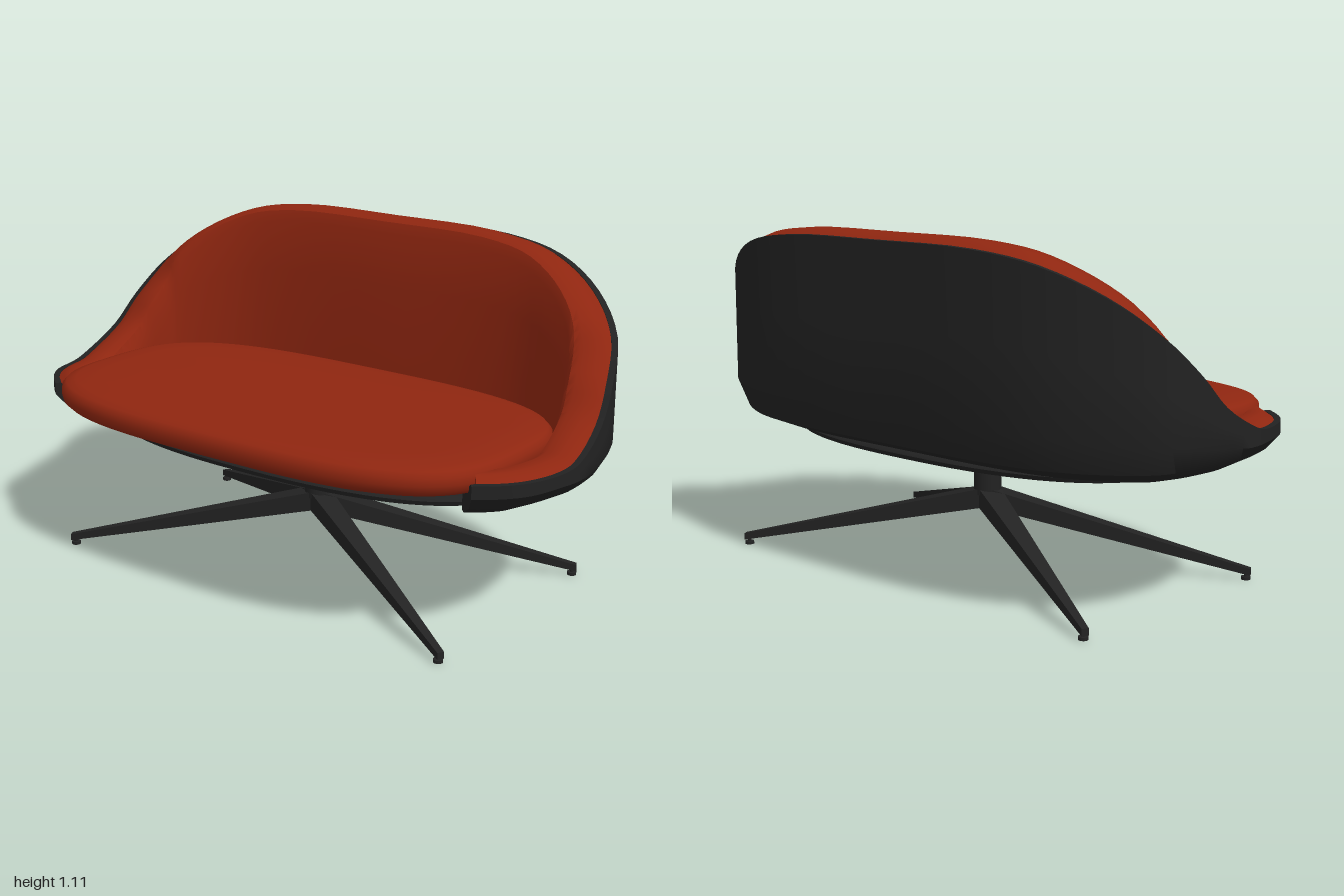
import * as THREE from 'three';
import { toCreasedNormals } from 'three/addons/utils/BufferGeometryUtils.js';

const red = new THREE.MeshStandardMaterial({ color: 0x8f2610 });
red.name = 'red upholstery';
const black = new THREE.MeshStandardMaterial({ color: 0x222222 });
black.name = 'black shell and metal';

// Skin a row of closed rings and cap both ends
function loft(rings, crease = 0.7) {
  const n = rings[0].length, pos = [], idx = [];
  rings.forEach(r => r.forEach(p => pos.push(p.x, p.y, p.z)));
  for (let j = 0; j < rings.length - 1; j++) {
    for (let i = 0; i < n; i++) {
      const a = j * n + i, b = j * n + (i + 1) % n;
      idx.push(a, a + n, b, b, a + n, b + n);
    }
  }
  [0, rings.length - 1].forEach((j, end) => {
    const c = new THREE.Vector3();
    rings[j].forEach(p => c.addScaledVector(p, 1 / n));
    const k = pos.length / 3;
    pos.push(c.x, c.y, c.z);
    for (let i = 0; i < n; i++) {
      const a = j * n + i, b = j * n + (i + 1) % n;
      idx.push(k, end ? b : a, end ? a : b);
    }
  });
  const g = new THREE.BufferGeometry();
  g.setAttribute('position', new THREE.Float32BufferAttribute(pos, 3));
  g.setIndex(idx);
  return toCreasedNormals(g, crease);
}

// Rounded-oblong pad; each level is [inset, y]
function pad(a, b, power, levels, segments = 72) {
  const bend = v => Math.sign(v) * Math.pow(Math.abs(v), 2 / power);
  return loft(levels.map(([inset, y]) => Array.from({ length: segments }, (_, i) => {
    const t = (i / segments) * Math.PI * 2;
    return new THREE.Vector3((a - inset) * bend(Math.cos(t)), y, (b - inset) * bend(Math.sin(t)));
  })), 0.9);
}

// Rim of the shell, from the right arm tip to the middle of the back, then mirrored
const half = [
  [-0.83, 0.56, 0.35], [-0.9, 0.56, 0.29], [-0.95, 0.56, 0.22], [-0.985, 0.56, 0.1],
  [-0.998, 0.575, 0.03], [-0.99, 0.65, -0.11], [-0.97, 0.75, -0.205], [-0.92, 0.865, -0.32],
  [-0.8, 0.97, -0.42], [-0.62, 1.05, -0.5], [-0.4, 1.085, -0.535], [0, 1.09, -0.54],
];
const rim = new THREE.CatmullRomCurve3(
  [...half, ...half.slice(0, -1).reverse().map(([x, y, z]) => [-x, y, z])]
    .map(p => new THREE.Vector3(...p)));

// Sweep a profile of [inward offset, y] points along the rim
function sweep(profile, start, steps = 88) {
  const rings = [];
  for (let s = 0; s <= steps; s++) {
    const t = start + (1 - 2 * start) * s / steps;
    const p = rim.getPoint(t), d = rim.getTangent(t);
    const len = Math.hypot(d.x, d.z), nx = -d.z / len, nz = d.x / len;
    const end = Math.max(0, 1 - Math.min(t, 1 - t) / 0.12);
    rings.push(profile(p, end).map(([o, y]) => new THREE.Vector3(p.x + nx * o, y, p.z + nz * o)));
  }
  return loft(rings);
}

function shellProfile(p, end) {
  const back = THREE.MathUtils.clamp(-p.z / 0.5, 0, 1);
  const belt = 0.52 + 0.05 * back;
  return [
    [0, p.y], [0, (p.y + belt) / 2], [0, belt], [0.035, 0.48 - 0.01 * back], [0.13, 0.432], [0.16, 0.43],
    [0.16, 0.45 + 0.08 * end], [0.05 + 0.08 * end, 0.5 + 0.05 * end],
    [0.02, belt + 0.03 * end], [0.02, p.y],
  ];
}

function linerProfile(p, end) {
  const k = 1 - 0.25 * end, low = 0.5 + 0.03 * end;
  return [
    [0.016, p.y - 0.005], [0.018, (p.y + 0.53) / 2], [0.05, low], [0.155 * k, low],
    [0.158 * k, low + (p.y - low) * 0.3], [0.152 * k, low + (p.y - low) * 0.65],
    [0.145 * k, p.y - 0.03], [0.132 * k, p.y + 0.006], [0.11 * k, p.y + 0.018],
    [0.065 * k, p.y + 0.018], [0.035, p.y + 0.008],
  ];
}

export function createModel() {
  const model = new THREE.Group();
  const add = (name, geometry, material, x = 0, y = 0, z = 0, parent = model) => {
    const m = new THREE.Mesh(geometry, material);
    m.name = name;
    m.position.set(x, y, z);
    parent.add(m);
    return m;
  };

  // Wraparound shell and its padded lining
  add('outerShell', sweep(shellProfile, 0), black);
  add('innerLining', sweep(linerProfile, 0.008), red);

  // Seat cushion with rounded edges
  add('seatCushion', pad(0.84, 0.457, 3.2, [
    [0.05, 0.515], [0.018, 0.52], [0.004, 0.535], [0, 0.555], [0.002, 0.578],
    [0.015, 0.594], [0.045, 0.603], [0.12, 0.608], [0.25, 0.61],
  ]), red, 0, 0, 0.083);

  // Support under the cushion and the slightly tilted base plate
  add('seatSupport', pad(0.64, 0.3, 2.6, [[0, 0.44], [0, 0.517]]), black, 0, 0, -0.02);
  const plate = add('basePlate', pad(0.77, 0.392, 2.5, [
    [0.04, -0.018], [0.006, -0.01], [0, 0.004], [0.008, 0.014], [0.03, 0.018],
  ]), black, 0, 0.425, -0.02);
  plate.rotation.x = -0.032;

  // Swivel column
  const cz = -0.035;
  add('column', new THREE.CylinderGeometry(0.045, 0.045, 0.19, 32), black, 0, 0.325, cz);

  // Four tapered legs with small feet
  const reach = Math.hypot(0.75, 0.405);
  for (const sx of [-1, 1]) {
    for (const sz of [-1, 1]) {
      const leg = new THREE.Group();
      leg.name = 'leg';
      leg.position.z = cz;
      leg.rotation.y = Math.atan2(-sz * 0.405, sx * 0.75);
      model.add(leg);
      const g = new THREE.BoxGeometry(1, 1, 1);
      const v = g.attributes.position;
      for (let i = 0; i < v.count; i++) {
        const t = v.getX(i) + 0.5, top = v.getY(i) > 0;
        const y = top ? THREE.MathUtils.lerp(0.255, 0.037, t) : THREE.MathUtils.lerp(0.19, 0.015, t);
        v.setXYZ(i, t * (reach + 0.01), y, v.getZ(i) * THREE.MathUtils.lerp(0.075, 0.022, t));
      }
      g.computeVertexNormals();
      add('legBar', g, black, 0, 0, 0, leg);
      add('footStem', new THREE.CylinderGeometry(0.006, 0.006, 0.02, 12), black, reach - 0.005, 0.013, 0, leg);
      add('footPad', new THREE.CylinderGeometry(0.015, 0.015, 0.01, 20), black, reach - 0.005, 0.005, 0, leg);
    }
  }
  return model;
}
